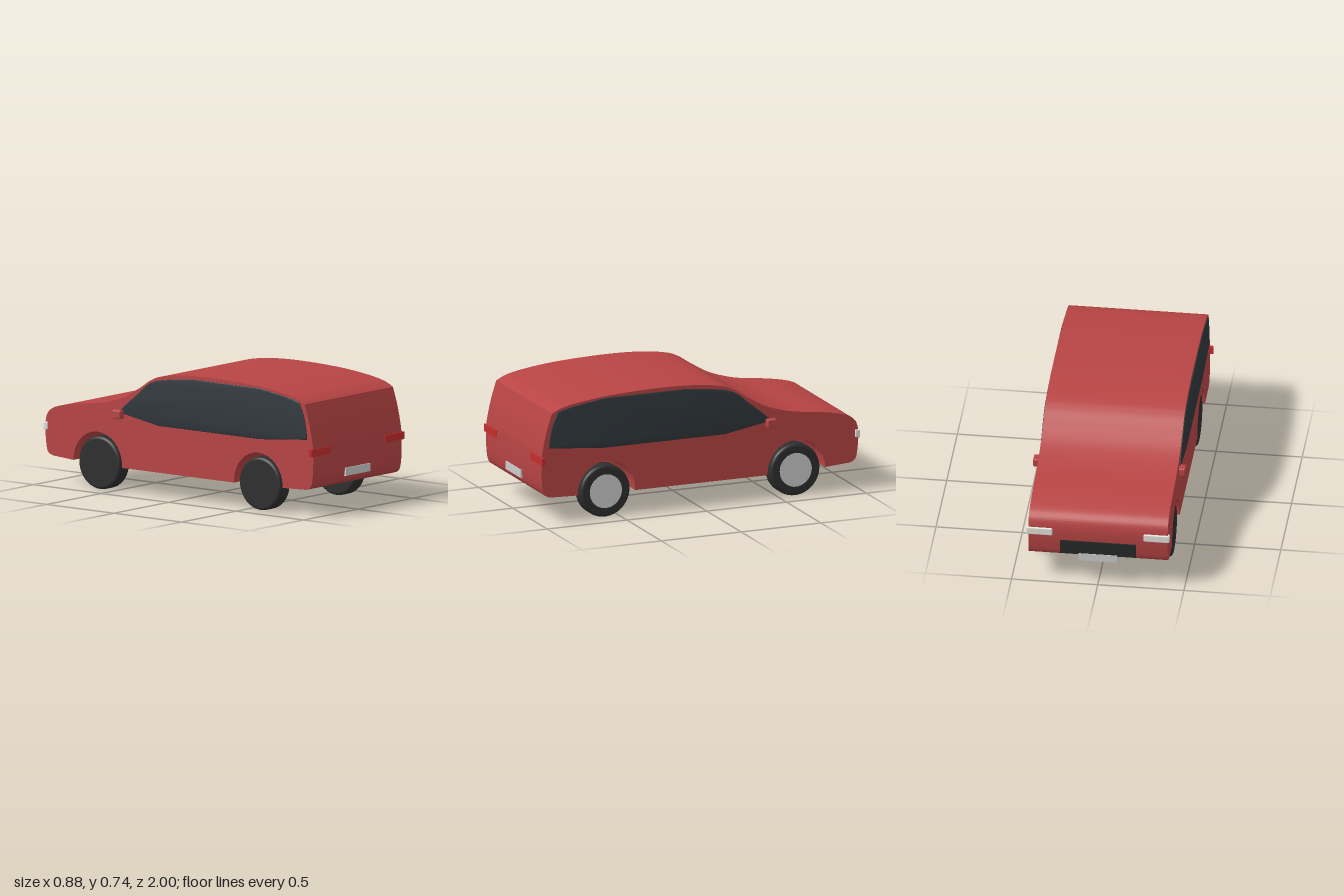
import * as THREE from 'three';
import { toCreasedNormals } from 'three/addons/utils/BufferGeometryUtils.js';
import { RoundedBoxGeometry } from 'three/addons/geometries/RoundedBoxGeometry.js';

const mat = (color) => new THREE.MeshStandardMaterial({ color });
const paint = mat(0xb84444);
const glass = mat(0x30373c);
const rubber = mat(0x2e2e2e);
const trim = mat(0x262829);
const metal = mat(0xcccccc);
const lamp = mat(0xe2e2dc);
const tailRed = mat(0xc62c2c);

const HALF_WIDTH = 0.404;
const AXLES = { rear: 0.587, front: -0.603 };
const points = (list) => list.map(([z, y]) => new THREE.Vector2(z, y));

function addMesh(parent, name, geometry, material, x = 0, y = 0, z = 0) {
  const mesh = new THREE.Mesh(geometry, material);
  mesh.name = name;
  mesh.position.set(x, y, z);
  parent.add(mesh);
  return mesh;
}

// Extrudes a (z, y) side outline across x, centred on x = 0
function extrudeAcross(shape, width, bevel = 0) {
  const depth = width - 2 * bevel;
  const geometry = new THREE.ExtrudeGeometry(shape, {
    depth, curveSegments: 8, bevelEnabled: bevel > 0,
    bevelSize: bevel, bevelThickness: bevel, bevelOffset: -bevel, bevelSegments: 3,
  });
  geometry.translate(0, 0, -depth / 2).rotateY(-Math.PI / 2);
  return toCreasedNormals(geometry, 0.45);
}

// Side outline of the body, with both wheel arches cut through the full width
function bodyShape() {
  const s = new THREE.Shape();
  s.moveTo(0.94, 0.159);
  s.lineTo(0.767, 0.153);
  s.absarc(AXLES.rear, 0.16, 0.18, 0, Math.PI, false);
  s.lineTo(0.407, 0.147);
  s.lineTo(-0.423, 0.147);
  s.absarc(AXLES.front, 0.16, 0.18, 0, Math.PI, false);
  s.lineTo(-0.783, 0.157);
  s.lineTo(-0.93, 0.167);
  // nose, bonnet, windscreen and roof
  s.splineThru(points([
    [-0.962, 0.178], [-0.98, 0.21], [-0.991, 0.31], [-0.986, 0.38], [-0.962, 0.426],
    [-0.903, 0.458], [-0.77, 0.486], [-0.608, 0.506], [-0.5, 0.53], [-0.394, 0.568],
    [-0.287, 0.63], [-0.206, 0.682], [-0.126, 0.711], [0.035, 0.733], [0.25, 0.74],
    [0.517, 0.732], [0.705, 0.715], [0.855, 0.689], [0.93, 0.657],
  ]));
  // tailgate and rear bumper
  s.splineThru(points([
    [0.962, 0.555], [0.984, 0.458], [0.993, 0.39], [0.993, 0.27],
    [0.984, 0.2], [0.968, 0.171], [0.94, 0.159],
  ]));
  return s;
}

// Side window outline
function windowShape() {
  const s = new THREE.Shape();
  s.moveTo(0.947, 0.452);
  s.lineTo(0.6, 0.42);
  s.lineTo(-0.153, 0.42);
  s.lineTo(-0.432, 0.468);
  s.lineTo(-0.441, 0.48);
  s.splineThru(points([[-0.313, 0.585], [-0.18, 0.677], [0.09, 0.717]]));
  s.lineTo(0.6, 0.717);
  s.splineThru(points([[0.81, 0.685], [0.892, 0.664]]));
  s.splineThru(points([[0.925, 0.59], [0.944, 0.5], [0.947, 0.452]]));
  return s;
}

// Tyre with rounded shoulders, its axis along x
function tyreGeometry() {
  const r = 0.155, h = 0.0475, b = 0.018;
  const profile = [[0, -h], [r - b, -h]];
  for (let i = 1; i <= 5; i++) {
    const a = (i / 5) * Math.PI / 2;
    profile.push([r - b + b * Math.sin(a), -h + b - b * Math.cos(a)]);
  }
  const mirrored = profile.map(([x, y]) => [x, -y]).reverse();
  const lathe = new THREE.LatheGeometry(points([...profile, ...mirrored]), 48);
  return lathe.rotateZ(-Math.PI / 2);
}

export function createModel() {
  const car = new THREE.Group();
  car.name = 'car';

  addMesh(car, 'body', extrudeAcross(bodyShape(), HALF_WIDTH * 2), paint);

  // Wheels: every hub cap sits on the +x face of its tyre
  const tyre = tyreGeometry();
  const hub = new THREE.CylinderGeometry(0.1, 0.1, 0.02, 40).rotateZ(Math.PI / 2);
  for (const [end, z] of Object.entries(AXLES)) {
    for (const [side, x] of [['Left', 0.346], ['Right', -0.346]]) {
      const wheel = new THREE.Group();
      wheel.name = `${end}${side}Wheel`;
      wheel.position.set(x, 0.157, z);
      addMesh(wheel, 'tyre', tyre, rubber);
      addMesh(wheel, 'hubCap', hub, metal, 0.0405);
      car.add(wheel);
    }
  }

  // Parts mirrored on both sides
  const pane = extrudeAcross(windowShape(), 0.02, 0.005);
  const mirror = new RoundedBoxGeometry(0.05, 0.05, 0.06, 3, 0.008);
  const headlight = new RoundedBoxGeometry(0.15, 0.046, 0.03, 3, 0.006);
  const tailLight = new THREE.BoxGeometry(0.174, 0.043, 0.022);
  for (const [side, s] of [['left', 1], ['right', -1]]) {
    addMesh(car, `${side}Window`, pane, glass, s * 0.399);
    addMesh(car, `${side}Mirror`, mirror, paint, s * 0.417, 0.461, -0.438);
    addMesh(car, `${side}Headlight`, headlight, lamp, s * 0.34, 0.338, -0.985);
    addMesh(car, `${side}TailLight`, tailLight, tailRed, s * 0.338, 0.379, 0.988);
  }

  // Grille and number plates
  addMesh(car, 'grille', new THREE.BoxGeometry(0.44, 0.085, 0.04), trim, 0, 0.243, -0.977);
  const plate = new THREE.BoxGeometry(0.224, 0.047, 0.02);
  addMesh(car, 'frontPlate', plate, metal, 0, 0.184, -0.99);
  addMesh(car, 'rearPlate', plate, metal, 0, 0.233, 0.989);

  return car;
}
